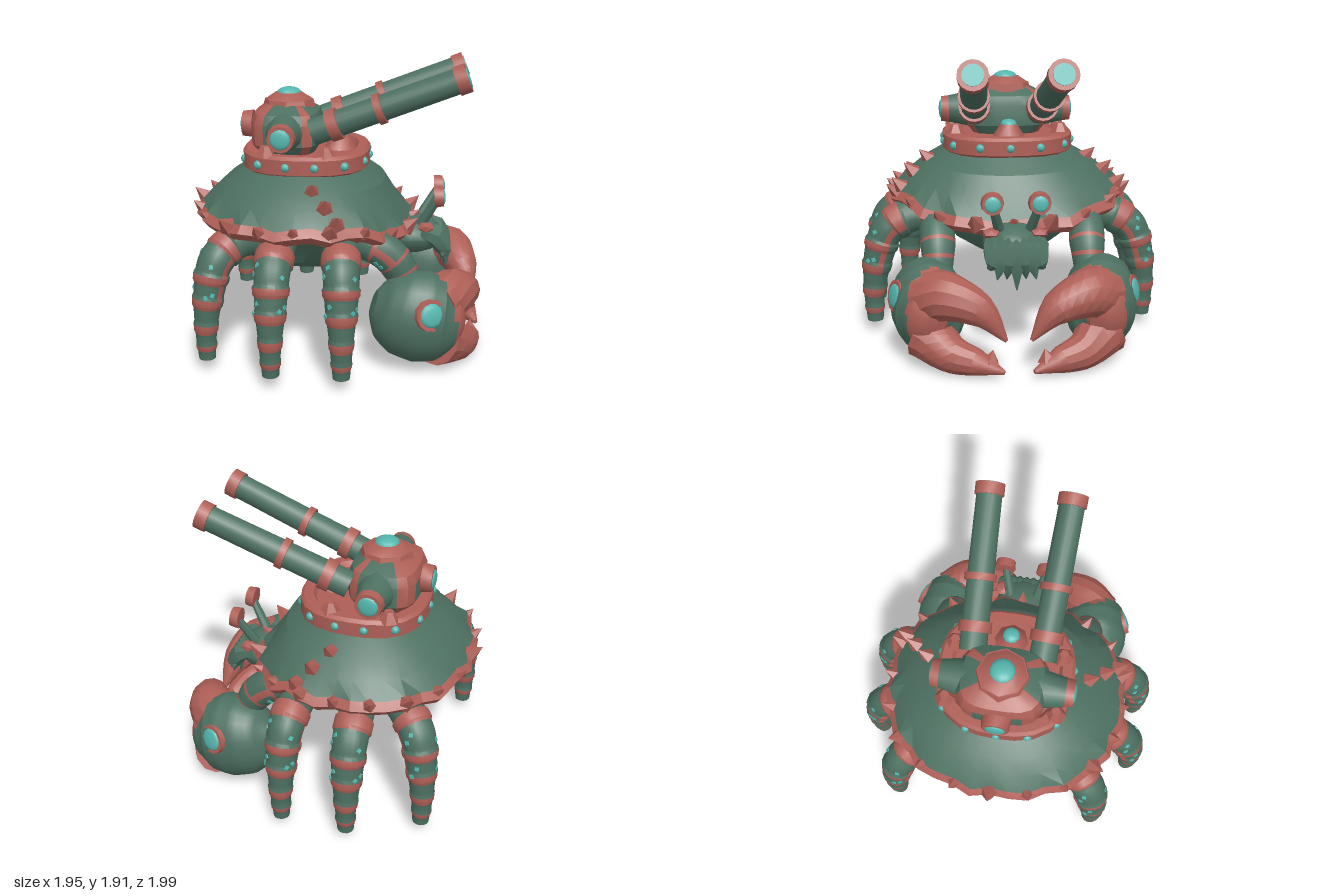
import * as THREE from 'three';
import { toCreasedNormals } from 'three/addons/utils/BufferGeometryUtils.js';

const V = (x, y, z) => new THREE.Vector3(x, y, z);
const UP = V(0, 1, 0);

export function createModel() {
  const root = new THREE.Group();
  root.name = 'crabTank';
  const mat = (name, color) => Object.assign(new THREE.MeshStandardMaterial({ color }), { name });
  const green = mat('shellGreen', 0x4d7061);
  const red = mat('rustRed', 0xad5f56);
  const teal = mat('glowTeal', 0x54b6ae);
  const mats = [green, red, teal];

  const add = (parent, name, geo, m) => {
    const mesh = new THREE.Mesh(geo, m);
    mesh.name = name;
    parent.add(mesh);
    return mesh;
  };
  // put a geometry at a point with its y axis along dir
  const place = (parent, name, geo, m, pos, dir = UP) => {
    const mesh = add(parent, name, toCreasedNormals(geo, 0.7), m);
    mesh.position.copy(pos);
    mesh.quaternion.setFromUnitVectors(UP, dir.clone().normalize());
    return mesh;
  };
  const group = (name) => {
    const g = new THREE.Group();
    g.name = name;
    root.add(g);
    return g;
  };
  const mid = (ring) => ring.reduce((a, p) => a.add(p), V(0, 0, 0)).divideScalar(ring.length);

  // skin closed rings with capped ends; pick(i, j) gives the colour of each cell
  function loft(parent, name, rings, pick = () => 0, crease = 0.5) {
    const pos = [[], [], []];
    const tri = (k, ...p) => p.forEach((v) => pos[k].push(v.x, v.y, v.z));
    const n = rings[0].length, last = rings.length - 1;
    const c0 = mid(rings[0]), c1 = mid(rings[last]);
    for (let j = 0; j < n; j++) {
      const k = (j + 1) % n;
      for (let i = 0; i < last; i++) {
        const m = pick(i, j), a = rings[i], b = rings[i + 1];
        tri(m, a[j], a[k], b[j]);
        tri(m, a[k], b[k], b[j]);
      }
      tri(pick(0, j), c0, rings[0][k], rings[0][j]);
      tri(pick(last - 1, j), c1, rings[last][j], rings[last][k]);
    }
    const geo = new THREE.BufferGeometry();
    geo.setAttribute('position', new THREE.Float32BufferAttribute(pos.flat(), 3));
    let start = 0;
    pos.forEach((p, m) => {
      if (p.length) geo.addGroup(start, p.length / 3, m);
      start += p.length / 3;
    });
    return add(parent, name, toCreasedNormals(geo, crease), mats);
  }

  // rings along a smooth path with varying radius; squash stretches one axis
  function tubeRings(pts, radii, ref, steps, sides, squash = 1) {
    const curve = new THREE.CatmullRomCurve3(pts);
    return Array.from({ length: steps + 1 }, (_, i) => {
      const u = i / steps, f = u * (radii.length - 1), k = Math.min(Math.floor(f), radii.length - 2);
      const r = THREE.MathUtils.lerp(radii[k], radii[k + 1], f - k);
      const c = curve.getPoint(u), t = curve.getTangent(u);
      const A = t.clone().cross(ref).normalize(), B = t.clone().cross(A);
      return Array.from({ length: sides }, (_, j) => {
        const a = (j / sides) * Math.PI * 2;
        return c.clone().addScaledVector(A, Math.cos(a) * r).addScaledVector(B, Math.sin(a) * r * squash);
      });
    });
  }

  // horizontal ring; e above 2 makes it squarer
  const flatRing = (cx, y, rx, rz, sides, e = 2, wave = () => 1) =>
    Array.from({ length: sides }, (_, j) => {
      const a = (j / sides) * Math.PI * 2, c = Math.cos(a), s = Math.sin(a);
      const k = wave(j) / Math.pow(Math.abs(c) ** e + Math.abs(s) ** e, 1 / e);
      return V(cx + c * rx * k, y, -s * rz * k);
    });

  // round glowing lens in a red collar
  function port(parent, name, pos, dir, r, depth = 0.05) {
    const d = dir.clone().normalize();
    place(parent, name + 'Collar', new THREE.CylinderGeometry(r, r * 1.1, depth, 12), red, pos, d);
    place(parent, name + 'Lens', new THREE.SphereGeometry(r * 0.76, 12, 5, 0, Math.PI * 2, 0, Math.PI / 2).scale(1, 0.25, 1),
      teal, pos.clone().addScaledVector(d, depth / 2), d);
  }
  const spike = (parent, pos, dir, r, h) =>
    place(parent, 'spike', new THREE.ConeGeometry(r, h, 5).translate(0, h * 0.35, 0), red, pos, dir);
  // flat glowing patches lying on a tube, given as [ring, side]
  const specks = (parent, rings, list) => list.forEach(([i, j]) =>
    place(parent, 'speck', new THREE.BoxGeometry(0.026, 0.008, 0.026), teal, rings[i][j], rings[i][j].clone().sub(mid(rings[i]))));

  // shell with ragged red rim that dips at the front
  const shell = group('shell');
  const dip = (x) => -0.1 * THREE.MathUtils.smoothstep(x, 0.1, 0.52);
  const SH = [[0.86, 0.62], [0.865, 0.7], [0.915, 0.74], [0.965, 0.705], [1.05, 0.62], [1.13, 0.53], [1.22, 0.39]];
  const shellRings = SH.map(([y, r], i) => {
    const wave = (j) => (i > 0 && i < 4 ? 1 + 0.025 * Math.sin(j * 2.4) : 1);
    const ring = flatRing(-0.2, y, r * 0.98, r * 1.08, 40, 2.2, wave);
    ring.forEach((p, j) => {
      p.y += dip(p.x) * (i < 5 ? 1 : 0.3) + (i > 0 && i < 4 ? 0.014 * Math.sin(j * 1.9) : 0);
    });
    return ring;
  });
  loft(shell, 'shellDome', shellRings, (i) => (i > 0 && i < 3 ? 1 : 0), 0.3);
  flatRing(-0.2, 0.945, 0.7, 0.77, 20, 2.2).forEach((p, k) => {
    const big = k % 3 === 1 ? 1.25 : 0.9;
    p.y += dip(p.x);
    spike(shell, p, V((p.x + 0.2) * 0.9, 0.55, p.z * 0.9), 0.052 * big, 0.095 * big);
  });

  // body under the shell
  loft(group('body'), 'underbelly', [[0.555, -0.2, 0.4, 0.27], [0.62, -0.19, 0.46, 0.38],
    [0.74, -0.13, 0.49, 0.46], [0.9, -0.15, 0.56, 0.6]].map(([y, cx, rx, rz]) => flatRing(cx, y, rx, rz, 16)));

  // turret ring with rivets
  const ringBase = group('turretRing');
  loft(ringBase, 'ringBand', [[1.2, 0.4], [1.22, 0.43], [1.315, 0.43], [1.335, 0.41], [1.335, 0.35], [1.3, 0.33]]
    .map(([y, r]) => flatRing(-0.2, y, r * 0.97, r * 1.02, 24, 2.6)), () => 1);
  flatRing(-0.2, 1.268, 0.407, 0.428, 14, 2.6).forEach((p) =>
    place(ringBase, 'rivet', new THREE.SphereGeometry(0.03, 8, 6), teal, p));

  // turret body with red corner plates
  const turret = group('turret');
  loft(turret, 'turretBody', [[1.29, 0.2], [1.36, 0.245], [1.5, 0.25], [1.56, 0.225], [1.61, 0.14]]
    .map(([y, r]) => flatRing(-0.33, y, r * 0.92, r * 1.12, 24, 3.4)),
  (i, j) => ([3, 8, 9, 14, 15, 20].includes(j) || (j > 9 && j < 14 && i !== 1) ? 1 : 0));
  place(turret, 'hatchBase', new THREE.CylinderGeometry(0.16, 0.175, 0.05, 8), red, V(-0.32, 1.61, 0));
  place(turret, 'hatchTop', new THREE.CylinderGeometry(0.09, 0.155, 0.045, 8), red, V(-0.32, 1.655, 0));
  place(turret, 'hatchLens', new THREE.SphereGeometry(0.08, 12, 6, 0, Math.PI * 2, 0, Math.PI / 2).scale(1, 0.5, 1), teal, V(-0.32, 1.672, 0));
  place(turret, 'frontDome', new THREE.CylinderGeometry(0.055, 0.11, 0.09, 8), red, V(0.02, 1.355, 0));
  place(turret, 'frontDomeLens', new THREE.SphereGeometry(0.055, 10, 6, 0, Math.PI * 2, 0, Math.PI / 2).scale(1, 0.6, 1), teal, V(0.02, 1.398, 0));
  port(turret, 'rear', V(-0.595, 1.46, 0), V(-1, 0, 0), 0.085, 0.07);

  // one barrel with its bands
  function cannon(s) {
    const g = group('cannon');
    const a = V(-0.14, 1.455, 0.22 * s), b = V(0.835, 1.827, 0.262 * s), d = b.clone().sub(a).normalize();
    const L = a.distanceTo(b), at = (t) => a.clone().addScaledVector(d, t);
    place(g, 'barrel', new THREE.CylinderGeometry(0.082, 0.088, L, 16), green, at(L / 2), d);
    [[0.15, 0.07, 0.105], [0.46, 0.045, 0.102], [L - 0.035, 0.075, 0.094]].forEach(([t, h, r]) =>
      place(g, 'barrelBand', new THREE.CylinderGeometry(r, r, h, 16), red, at(t), d));
    place(g, 'muzzleGlow', new THREE.CylinderGeometry(0.066, 0.066, 0.008, 16), teal, at(L + 0.005), d);
  }

  // banded walking leg: foot swings out from (x, z) along the heading
  function leg(x, z, ox, oz, reach = 1) {
    const g = group('leg');
    const o = V(ox, 0, oz).normalize(), ref = o.clone().cross(V(0, -1, 0));
    const pts = [[0, 0.79], [0.2, 0.8], [0.36, 0.715], [0.43, 0.53], [0.465, 0.3], [0.465, 0.08]]
      .map(([d, y]) => V(x + o.x * d * reach, y, z + o.z * d * reach));
    const rings = tubeRings(pts, [0.1, 0.113, 0.114, 0.1, 0.072, 0.053], ref, 56, 16);
    const mids = rings.map((r) => mid(r));
    const bands = [[0.75, 0.795], [0.59, 0.645], [0.44, 0.49], [0.27, 0.32], [0.14, 0.185]];
    const bandAt = rings.map((_, i) => (i > 14 ? bands.findIndex(([lo, hi]) => mids[i].y > lo && mids[i].y < hi) : -1));
    // swell the joints slightly
    rings.forEach((r, i) => {
      if (bandAt[i] >= 0) r.forEach((p) => p.sub(mids[i]).multiplyScalar(1.1).add(mids[i]));
    });
    loft(g, 'legSegments', rings, (i, j) => {
      if (bandAt[i] >= 0 && (bandAt[i] > 2 || j < 5 || j > 10)) return 1;
      return i > 14 && mids[i].y > 0.44 && (j === 4 || j === 11) ? 1 : 0;
    });
    specks(g, rings, [[22, 2], [25, 14], [24, 3], [33, 2], [35, 14], [36, 3], [34, 13]]);
  }

  // arm, bulb and two curved fingers
  function claw(s) {
    const g = group('claw');
    const P = (list) => list.map(([x, y, z]) => V(x, y, z * s));
    const arm = tubeRings(P([[0.12, 0.8, 0.42], [0.28, 0.79, 0.48], [0.41, 0.69, 0.48], [0.5, 0.52, 0.48]]),
      [0.1, 0.115, 0.115, 0.09], V(0, 0, 1), 24, 14);
    loft(g, 'arm', arm, (i, j) => ([8, 15, 19].includes(i) || (i > 8 && i < 15 && (j === 3 || j === 10)) ? 1 : 0));
    specks(g, arm, [[11, 2], [13, 12], [12, 1], [11, 12]]);
    const bulb = tubeRings(P([[0.28, 0.44, 0.58], [0.34, 0.42, 0.57], [0.45, 0.385, 0.56], [0.58, 0.35, 0.545],
      [0.69, 0.33, 0.53], [0.78, 0.32, 0.52], [0.84, 0.31, 0.5]]),
    [0.07, 0.16, 0.22, 0.238, 0.22, 0.16, 0.06], UP, 24, 24, 1.27);
    loft(g, 'clawBulb', bulb, (i, j) => {
      const p = bulb[i][j], z = Math.abs(p.z);
      return z > 0.42 && p.x > 0.77 + (z - 0.65) * 0.75 ? 1 : 0;
    });
    const fingers = {
      upperFinger: [[[0.67, 0.44, 0.55], [0.78, 0.475, 0.43], [0.865, 0.41, 0.23], [0.92, 0.235, 0.075]], [0.17, 0.155, 0.105, 0.012]],
      lowerFinger: [[[0.69, 0.2, 0.55], [0.82, 0.12, 0.41], [0.89, 0.09, 0.26], [0.965, 0.05, 0.09]], [0.17, 0.118, 0.085, 0.014]],
    };
    for (const [name, [pts, radii]] of Object.entries(fingers))
      loft(g, name, tubeRings(P(pts), radii, V(1, 0, 0), 12, 12), () => 1);
    spike(g, V(0.91, 0.11, 0.17 * s), V(0, 1, -0.2 * s), 0.06, 0.08);
    port(g, 'clawEye', V(0.635, 0.435, 0.727 * s), V(0.42, 0.2, 0.88 * s), 0.1, 0.06);
  }

  for (const s of [1, -1]) {
    cannon(s);
    claw(s);
    leg(0.06, 0.45 * s, 0.1, s);
    leg(-0.31, 0.45 * s, -0.04, s);
    leg(-0.48, 0.4 * s, -0.69, 0.72 * s, 0.9);
    // turret side pods
    place(turret, 'sidePod', new THREE.CylinderGeometry(0.09, 0.13, 0.2, 12), green, V(-0.32, 1.45, 0.31 * s), V(0, 0, s));
    port(turret, 'side', V(-0.32, 1.45, 0.415 * s), V(0, 0, s), 0.086, 0.06);
    // ring teeth and shell spikes
    for (const x of [-0.43, -0.05])
      place(ringBase, 'tooth', new THREE.CylinderGeometry(0.03, 0.07, 0.07, 6), red, V(x, 1.355, 0.35 * s));
    [[-0.11, 1.15, 0.54], [-0.02, 1.08, 0.64], [0.06, 1.0, 0.72]].forEach(([x, y, z]) =>
      spike(shell, V(x, y, z * s), V(0.1, 0.7, 0.7 * s), 0.055, 0.1));
  }

  // head, mouth feelers and eye stalks
  const head = group('head');
  place(head, 'face', new THREE.SphereGeometry(1, 12, 8).scale(0.22, 0.13, 0.2), green, V(0.5, 0.73, 0));
  for (let k = -3; k <= 3; k++) {
    const z = k * 0.048, tip = 0.49 + Math.abs(k) * 0.035 + 0.03 * (k & 1);
    const feeler = tubeRings([V(0.57, 0.77, z * 0.9), V(0.67, 0.74, z), V(0.72, 0.65, z * 1.05), V(0.74 - 0.03 * (k & 1), tip, z * 1.25)],
      [0.05, 0.065, 0.05, 0.004], V(0, 0, 1), 6, 6);
    loft(head, 'feeler', feeler);
  }
  for (const s of [1, -1]) {
    const a = V(0.55, 0.8, 0.09 * s), b = V(0.67, 1.0, 0.14 * s), d = b.clone().sub(a);
    place(head, 'brow', new THREE.IcosahedronGeometry(0.06, 0).scale(1, 0.6, 1), red, V(0.6, 0.815, 0.15 * s));
    place(head, 'eyeStalk', new THREE.CylinderGeometry(0.026, 0.036, d.length(), 8), green, a.clone().add(b).multiplyScalar(0.5), d);
    port(head, 'eye', V(0.68, 1.025, 0.145 * s), V(1, 0.08, 0), 0.066, 0.06);
  }
  return root;
}
